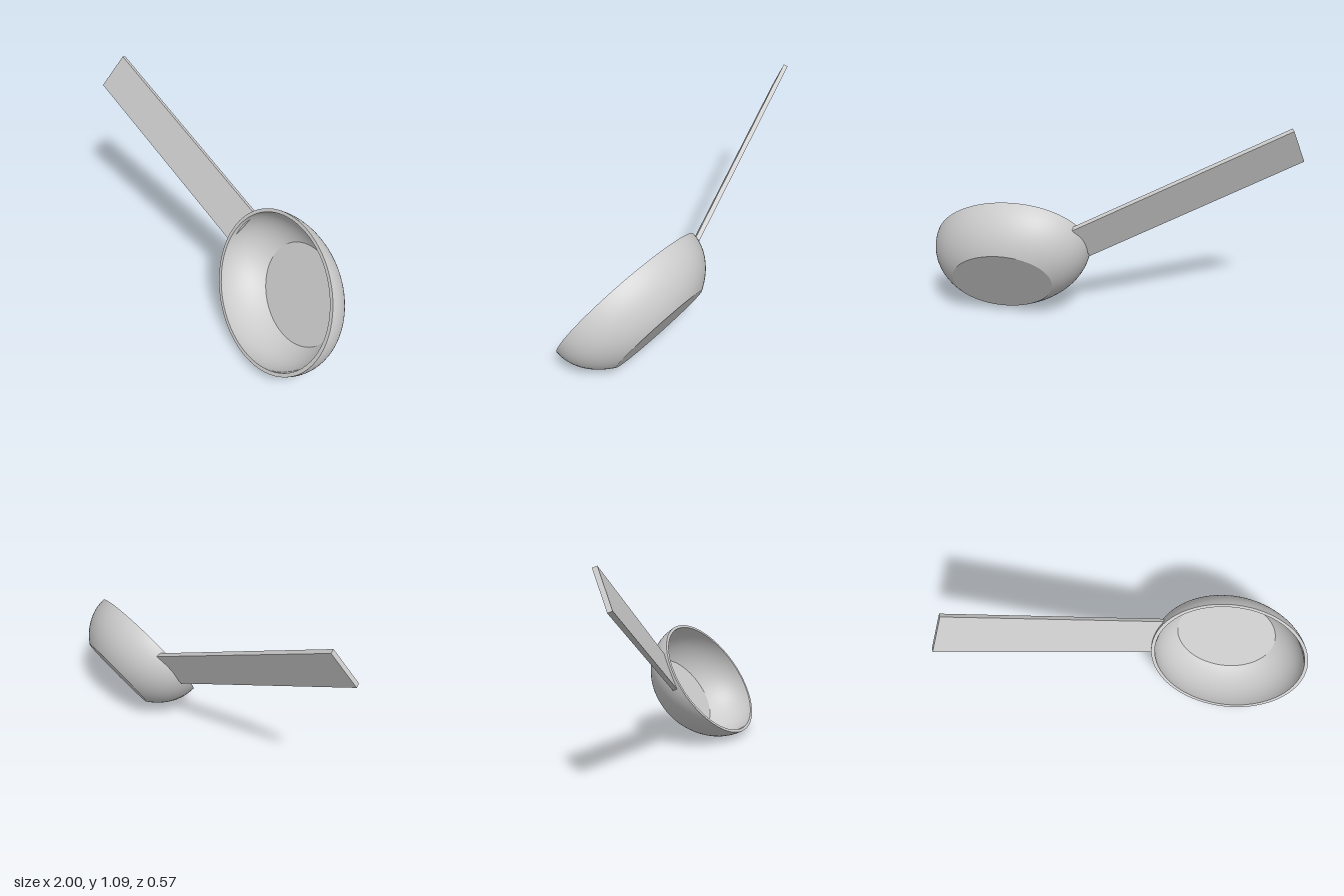
import * as THREE from 'three';
import { toCreasedNormals } from 'three/addons/utils/BufferGeometryUtils.js';

const V = (x, y, z) => new THREE.Vector3(x, y, z);

// Places a mesh with its local x along xDir and its local y as close to yDir as possible.
function orient(mesh, origin, xDir, yDir) {
  const x = xDir.clone().normalize();
  const z = x.clone().cross(yDir).normalize();
  const y = z.clone().cross(x);
  mesh.quaternion.setFromRotationMatrix(new THREE.Matrix4().makeBasis(x, y, z));
  mesh.position.copy(origin);
  return mesh;
}

// Arc of an ellipse from the rim (depth 0) down to the given depth.
function wallArc(radius, height, depth, steps) {
  const end = Math.asin(depth / height);
  return Array.from({ length: steps + 1 }, (_, i) => {
    const t = end * i / steps;
    return new THREE.Vector2(radius * Math.cos(t), -height * Math.sin(t));
  });
}

export function createModel() {
  const group = new THREE.Group();
  const material = new THREE.MeshStandardMaterial({ color: 0xcccccc });

  // Hollow oval bowl with a flat base, a flat floor and a thin flat rim
  const outerDepth = 0.25, innerDepth = 0.228;
  const profile = [
    new THREE.Vector2(0, -outerDepth),
    ...wallArc(1, 0.322, outerDepth, 16).reverse(),
    ...wallArc(0.955, 0.31, innerDepth, 16),
    new THREE.Vector2(0, -innerDepth),
  ];
  const bowlGeometry = new THREE.LatheGeometry(profile, 72);
  bowlGeometry.scale(0.461, 1, 0.366);
  const bowl = new THREE.Mesh(toCreasedNormals(bowlGeometry, 0.45), material);
  bowl.name = 'bowl';
  orient(bowl, V(0.555, 0.362, 0.06), V(0.888, -0.289, 0.358), V(-0.159, 0.507, 0.847));
  group.add(bowl);

  // Flat straight handle, its end sunk into the bowl wall
  const length = 1.245, width = 0.227, thickness = 0.025;
  const handleGeometry = new THREE.BoxGeometry(length, width, thickness);
  handleGeometry.translate(length / 2, width / 2, -thickness / 2);
  const handle = new THREE.Mesh(handleGeometry, material);
  handle.name = 'handle';
  orient(handle, V(-1, 0.9, -0.072), V(1.115, -0.53, 0.012), V(0.396, 0.815, -0.419));
  group.add(handle);

  return group;
}
